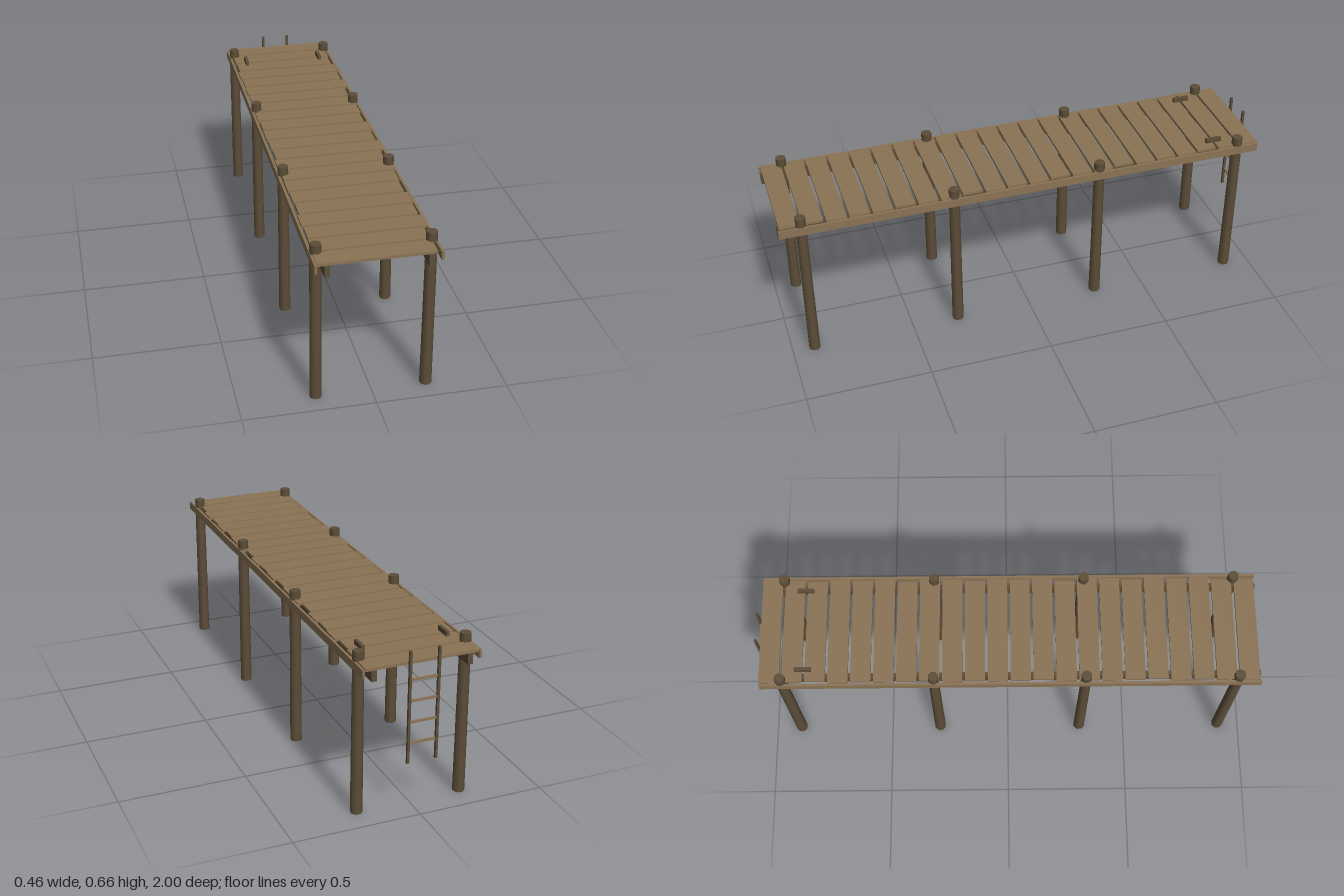
import * as THREE from 'three';

export function createModel() {
  const group = new THREE.Group();
  const mat = (name, color) => {
    const m = new THREE.MeshStandardMaterial({ color });
    m.name = name;
    return m;
  };
  const plankWood = mat('plank wood', 0x8b7355);
  const darkWood = mat('dark wood', 0x5c4d38);

  const add = (name, geometry, material, x, y, z) => {
    const mesh = new THREE.Mesh(geometry, material);
    mesh.name = name;
    mesh.position.set(x, y, z);
    group.add(mesh);
    return mesh;
  };
  const box = (name, w, h, d, material, x, y, z) =>
    add(name, new THREE.BoxGeometry(w, h, d), material, x, y, z);

  // Deck planks with slightly uneven ends
  const leftEnds = [0.218, 0.215, 0.212, 0.22, 0.216];
  const rightEnds = [0.206, 0.221, 0.216, 0.209, 0.219, 0.213, 0.22];
  const count = 22;
  for (let i = 0; i < count; i++) {
    const a = i === count - 1 ? 0.222 : leftEnds[i % leftEnds.length];
    const b = i === count - 1 ? 0.209 : rightEnds[(i + 1) % rightEnds.length];
    box('deckPlank', a + b, 0.011, 0.08, plankWood, (b - a) / 2, 0.6115, -0.942 + i * 0.0903);
  }

  for (const side of [-1, 1]) {
    // Tapered posts
    for (const z of [-0.895, -0.293, 0.309, 0.911]) {
      add('post', new THREE.CylinderGeometry(0.0212, 0.0232, 0.65, 8), darkWood, side * 0.21, 0.325, z)
        .rotation.y = Math.PI / 8;
    }
    // Beams under the deck and boards along its edge
    box('deckBeam', 0.02, 0.044, 1.98, darkWood, side * 0.187, 0.584, 0.01);
    box('edgeBoard', 0.01, 0.033, 1.98, plankWood, side * 0.227, 0.5965, 0.01);
    // Mooring cleats
    box('cleat', 0.013, 0.019, 0.066, darkWood, side * 0.167, 0.6265, -0.808);
    // Ladder rails
    box('ladderRail', 0.01, 0.44, 0.01, darkWood, side * 0.056, 0.442, -0.994);
  }

  // Ladder rungs
  for (let i = 0; i < 4; i++) {
    box('ladderRung', 0.112, 0.008, 0.008, plankWood, 0, 0.302 + i * 0.0833, -0.994);
  }
  return group;
}
